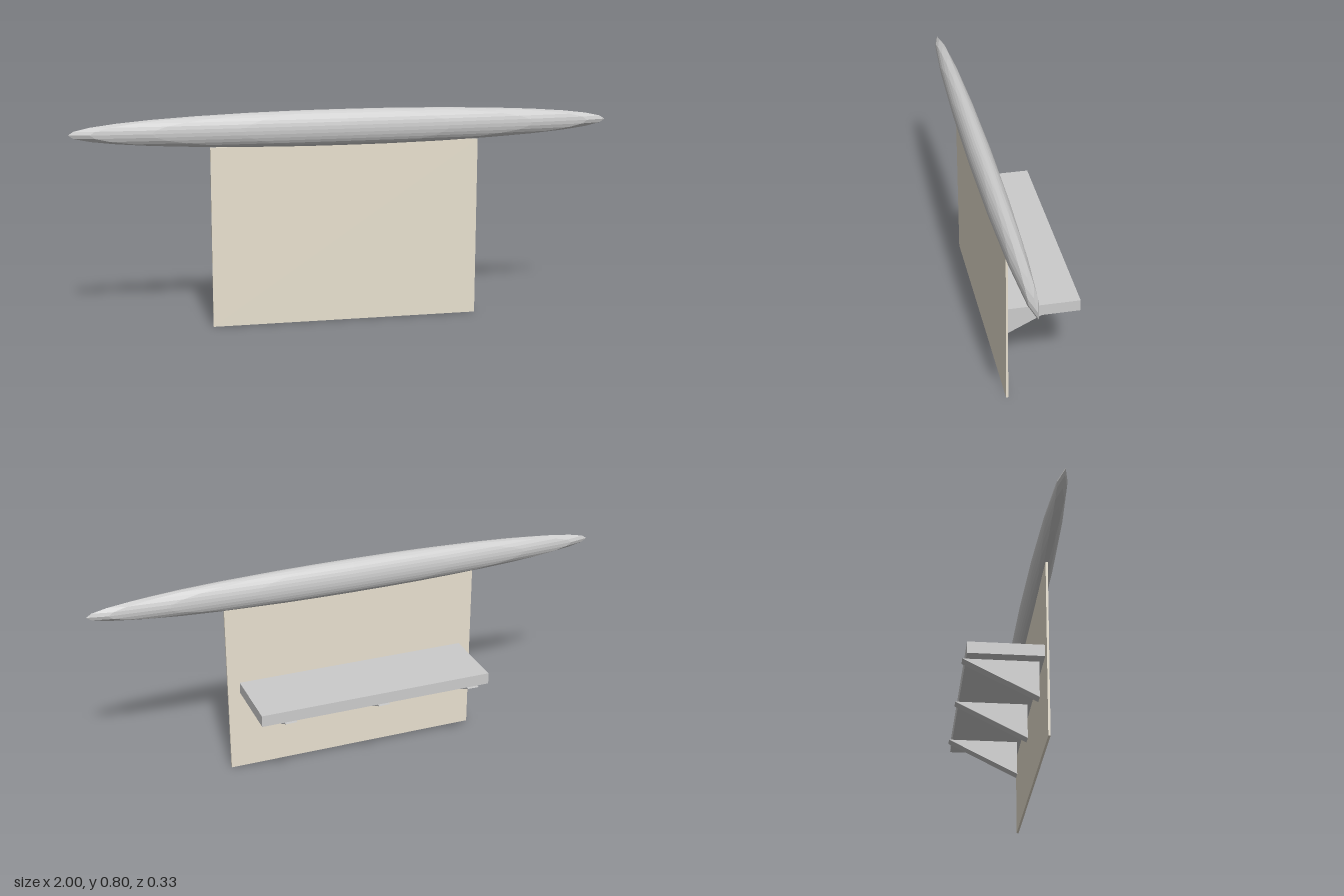
import * as THREE from 'three';

export function createModel() {
  const model = new THREE.Group();
  const grey = new THREE.MeshStandardMaterial({ color: 0xcccccc, flatShading: true });
  const tan = new THREE.MeshStandardMaterial({ color: 0xe8e0cf });

  const add = (name, geometry, material, x, y, z) => {
    const mesh = new THREE.Mesh(geometry, material);
    mesh.name = name;
    mesh.position.set(x, y, z);
    model.add(mesh);
    return mesh;
  };

  // Thin upright panel
  add('panel', new THREE.BoxGeometry(1, 0.67, 0.008), tan, 0, 0.335, 0.124);

  // Long faceted spindle along the top edge
  const spindle = new THREE.SphereGeometry(1, 16, 16).scale(1, 0.0665, 0.044);
  add('topSpindle', spindle, grey, 0, 0.73, 0.124);

  // Shelf behind the panel
  add('shelf', new THREE.BoxGeometry(0.906, 0.044, 0.273), grey, 0, 0.342, -0.0165);

  // Triangular brackets under the shelf; shape x runs towards the back
  const width = 0.044;
  const triangle = new THREE.Shape([
    new THREE.Vector2(-0.105, 0.184),
    new THREE.Vector2(0.166, 0.32),
    new THREE.Vector2(-0.105, 0.32),
  ]);
  const bracket = new THREE.ExtrudeGeometry(triangle, { depth: width, bevelEnabled: false });
  bracket.translate(0, 0, -width / 2).rotateY(Math.PI / 2);
  for (const x of [-0.385, -0.02, 0.345]) add('bracket', bracket, grey, x, 0, 0);

  return model;
}
